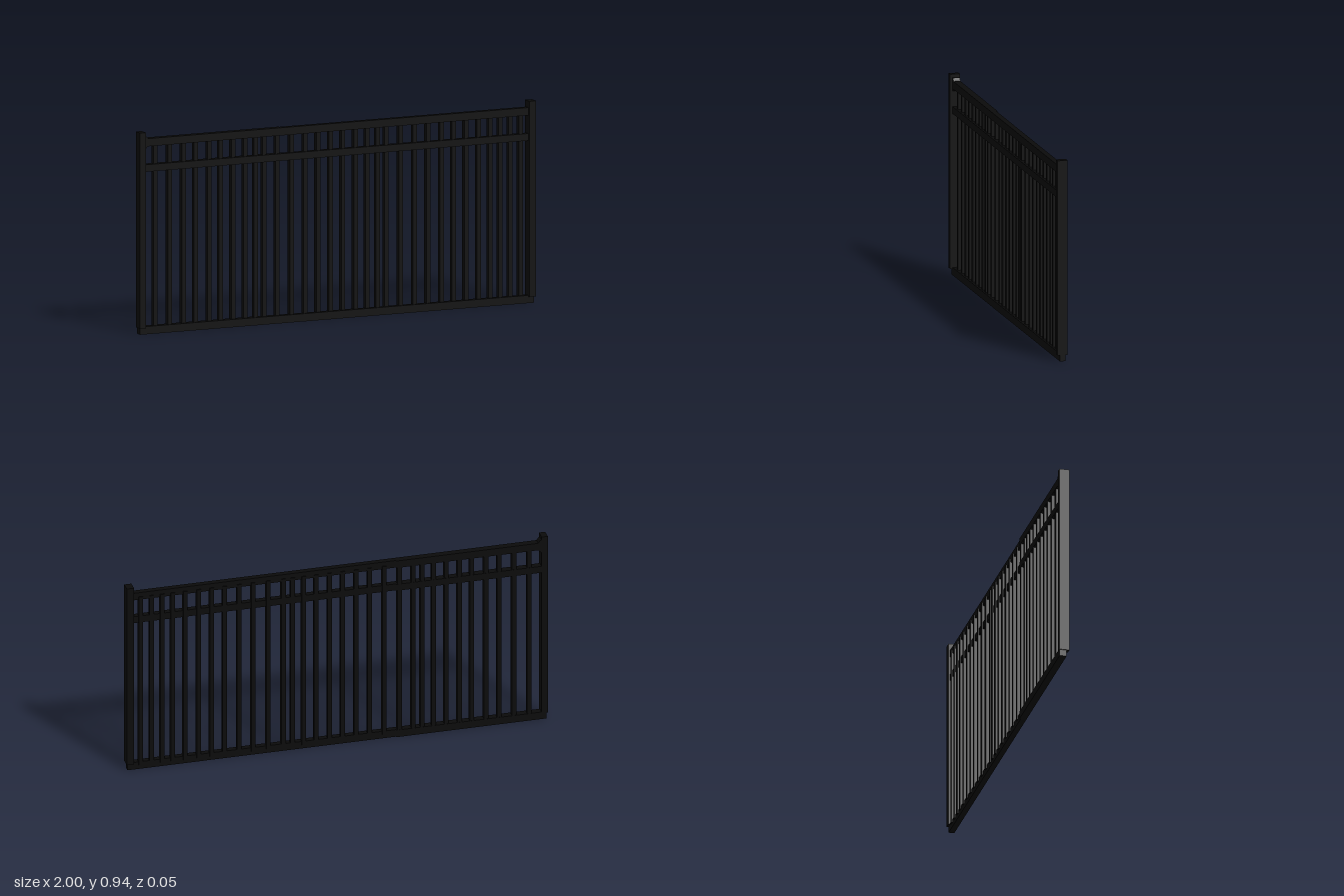
import * as THREE from 'three';

export function createModel() {
  const fence = new THREE.Group();
  fence.name = 'fencePanel';
  const black = new THREE.MeshStandardMaterial({ color: 0x0a0a0a });

  // Box given by its limits on each axis
  function bar(name, [x0, x1], [y0, y1], [z0, z1]) {
    const mesh = new THREE.Mesh(new THREE.BoxGeometry(x1 - x0, y1 - y0, z1 - z0), black);
    mesh.name = name;
    mesh.position.set((x0 + x1) / 2, (y0 + y1) / 2, (z0 + z1) / 2);
    fence.add(mesh);
  }

  // End posts, standing just above the foot of the bottom rail
  bar('rightPost', [-1, -0.971], [0.03, 0.942], [-0.023, 0.024]);
  bar('leftPost', [0.966, 1], [0.03, 0.942], [-0.023, 0.024]);

  // Rails: a deeper section up to the joint, then a slimmer one
  const joint = -0.28;
  const rails = {
    bottomRail: [-0.995, 0.995, 0, 0.036],
    middleRail: [-0.98, 0.98, 0.757, 0.79],
    topRail: [-0.98, 0.968, 0.875, 0.911],
  };
  for (const [name, [x0, x1, y0, y1]] of Object.entries(rails)) {
    bar(name + 'Deep', [x0, joint], [y0, y1], [-0.021, 0.012]);
    bar(name + 'Slim', [joint, x1], [y0, y1], [-0.015, 0.012]);
  }

  // Small tapered bracket where the top rail meets the right post
  const shape = new THREE.Shape([
    [-0.972, 0.862], [-0.965, 0.864], [-0.955, 0.876], [-0.955, 0.912], [-0.965, 0.924], [-0.972, 0.926],
  ].map(([x, y]) => new THREE.Vector2(x, y)));
  const bracket = new THREE.Mesh(
    new THREE.ExtrudeGeometry(shape, { depth: 0.033, bevelEnabled: false }), black);
  bracket.name = 'railBracket';
  bracket.position.z = -0.021;
  fence.add(bracket);

  // Pickets, unevenly spaced
  const pickets = [
    -0.913, -0.841, -0.77, -0.708, -0.641, -0.582, -0.52, -0.459, -0.406, -0.363,
    -0.297, -0.225, -0.155, -0.091, -0.027, 0.035, 0.099, 0.158, 0.211, 0.254,
    0.326, 0.398, 0.465, 0.534, 0.595, 0.657, 0.721, 0.78, 0.83, 0.881, 0.932,
  ];
  for (const x of pickets) bar('picket', [x - 0.01, x + 0.01], [0.02, 0.89], [-0.02, 0.004]);

  return fence;
}
